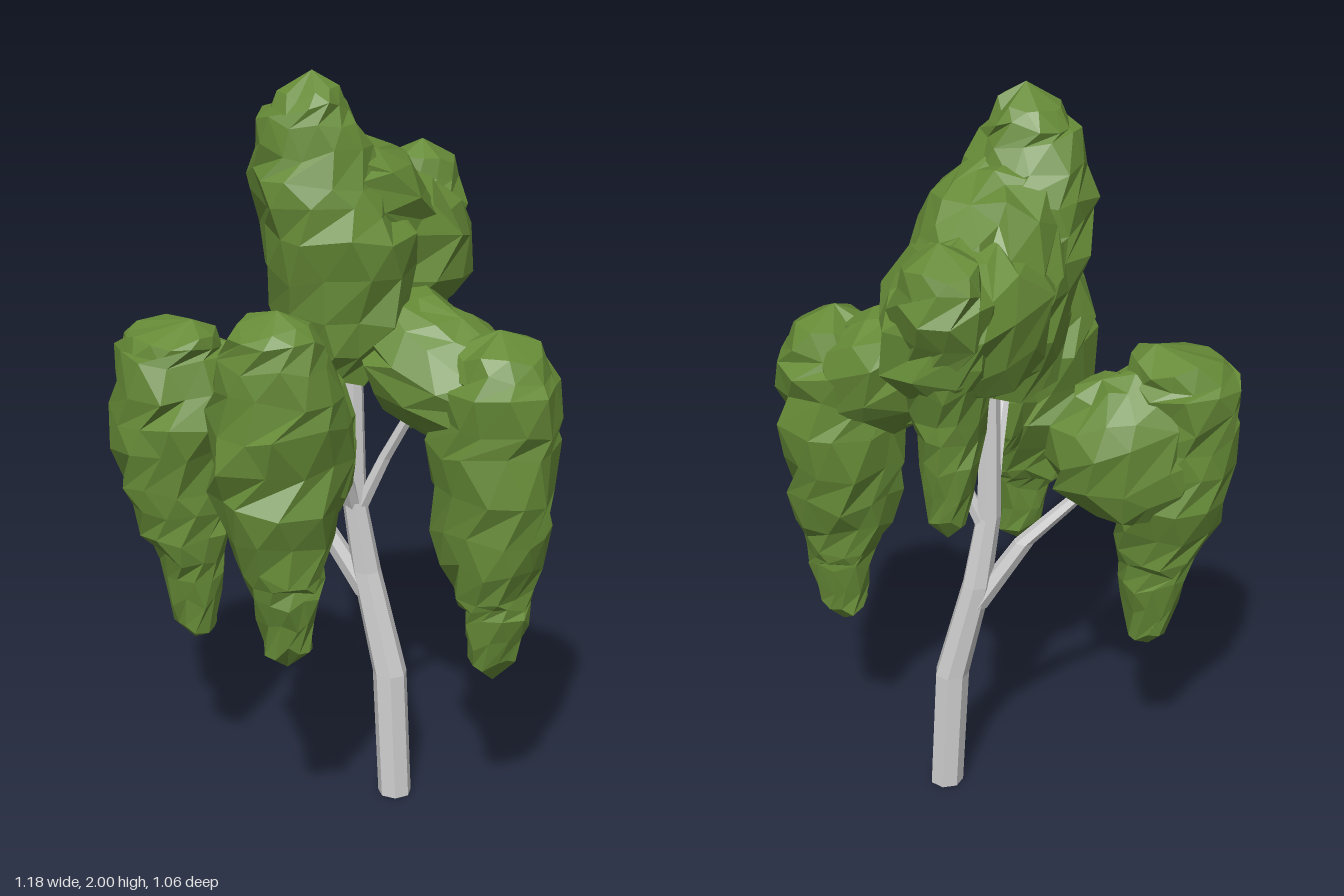
import * as THREE from 'three';

const leafGreen = new THREE.MeshStandardMaterial({ color: 0x668b37, flatShading: true });
const barkGrey = new THREE.MeshStandardMaterial({ color: 0xcfcfcf, flatShading: true });
leafGreen.name = 'leafGreen';
barkGrey.name = 'barkGrey';

// Seeded noise in -1..1
let seed = 7;
function noise() {
  seed = (seed * 16807) % 2147483647;
  return (seed / 2147483647) * 2 - 1;
}

// Skin over horizontal rings [y, x, z, rx, rz]; a zero radius closes an end
function loft(rows, sides, rough = 0) {
  const pos = [], index = [];
  rows.forEach(([y, x, z, rx, rz = rx], i) => {
    const twist = rough ? (i % 2) * Math.PI / sides : 0;
    for (let j = 0; j < sides; j++) {
      const a = (j / sides) * Math.PI * 2 + twist + noise() * rough * 1.2;
      const k = 1 + rough * (0.3 + noise());
      const dy = rx > 0 ? noise() * rough * 0.2 : 0;
      pos.push(x + Math.cos(a) * rx * k, y + dy, z + Math.sin(a) * rz * k);
    }
  });
  for (let i = 0; i < rows.length - 1; i++) {
    for (let j = 0; j < sides; j++) {
      const n = (j + 1) % sides;
      const a = i * sides + j, b = i * sides + n, c = a + sides, d = b + sides;
      if (rows[i][3] > 0) index.push(a, c, b);
      if (rows[i + 1][3] > 0) index.push(b, c, d);
    }
  }
  const g = new THREE.BufferGeometry();
  g.setAttribute('position', new THREE.Float32BufferAttribute(pos, 3));
  g.setIndex(index);
  const flat = g.toNonIndexed();
  flat.computeVertexNormals();
  return flat;
}

// Adds a ring halfway between each pair of rings
function subdivide(rows) {
  return rows.flatMap((r, i) => {
    const n = rows[i + 1];
    if (!n || r[3] === 0 || n[3] === 0) return [r];
    const full = (q) => [q[0], q[1], q[2], q[3], q[4] ?? q[3]];
    const f = full(n);
    return [r, full(r).map((v, k) => (v + f[k]) / 2)];
  });
}

export function createModel() {
  const tree = new THREE.Group();
  tree.name = 'tree';

  function add(name, geometry, material) {
    const mesh = new THREE.Mesh(geometry, material);
    mesh.name = name;
    tree.add(mesh);
    return mesh;
  }
  const hanging = (name, rows, sides = 11) =>
    add(name, loft(subdivide(rows), sides, 0.1), leafGreen);

  // Rough ellipsoid of leaves
  function mound(name, [x, y, z], [rx, ry, rz], [ax, ay, az]) {
    const rows = [];
    for (let i = 0; i <= 7; i++) {
      const t = (i / 7) * Math.PI, s = i % 7 ? Math.sin(t) : 0;
      rows.push([-Math.cos(t) * ry, 0, 0, rx * s, rz * s]);
    }
    const mesh = add(name, loft(rows, 11, 0.09), leafGreen);
    mesh.position.set(x, y, z);
    mesh.rotation.set(ax, ay, az);
  }

  // Trunk and branches
  add('trunk', loft([
    [0, 0.115, -0.085, 0], [0, 0.115, -0.085, 0.046], [0.36, 0.095, -0.085, 0.047],
    [0.65, 0.025, -0.07, 0.04], [0.85, 0.0, -0.05, 0.033], [1.3, 0.0, -0.04, 0.026],
    [1.3, 0.0, -0.04, 0],
  ], 7), barkGrey);
  const branches = {
    lowBranch: [[0.58, 0.03, -0.07, 0.034], [0.78, -0.09, -0.02, 0.028], [0.92, -0.22, 0.04, 0.022]],
    sideBranch: [[0.8, 0.0, -0.055, 0.024], [0.98, 0.08, -0.075, 0.019], [1.18, 0.19, -0.09, 0.016]],
    frontBranch: [[0.82, 0.0, -0.05, 0.024], [1.0, 0.02, 0.04, 0.02], [1.22, 0.05, 0.18, 0.016]],
  };
  for (const [name, rows] of Object.entries(branches)) add(name, loft(rows, 6), barkGrey);

  // Clump on the -x side, with its shoulder towards the trunk
  hanging('rightFoliage', [
    [0.43, -0.37, 0.18, 0], [0.48, -0.365, 0.18, 0.055], [0.64, -0.375, 0.18, 0.09, 0.08],
    [0.74, -0.39, 0.19, 0.115, 0.11], [0.9, -0.415, 0.19, 0.15, 0.145], [1.08, -0.415, 0.195, 0.16, 0.155],
    [1.24, -0.43, 0.185, 0.145, 0.14], [1.29, -0.42, 0.18, 0.11], [1.33, -0.37, 0.16, 0],
  ]);
  mound('rightShoulder', [-0.33, 1.05, 0.095], [0.21, 0.21, 0.145], [0, 0.4, -0.35]);

  // Clump on the +x side, bridging up to the crown
  hanging('leftFoliage', [
    [0.44, 0.43, -0.08, 0], [0.5, 0.43, -0.08, 0.06], [0.63, 0.44, -0.08, 0.085],
    [0.7, 0.42, -0.08, 0.1], [0.86, 0.415, -0.085, 0.15, 0.14], [1.08, 0.41, -0.09, 0.165, 0.16],
    [1.24, 0.415, -0.09, 0.155], [1.34, 0.42, -0.09, 0.11], [1.39, 0.42, -0.09, 0],
  ]);
  mound('leftShoulder', [0.23, 1.26, -0.085], [0.26, 0.16, 0.165], [0, 0, -0.5]);

  // Front clump
  hanging('frontFoliage', [
    [0.55, 0.1, 0.36, 0], [0.61, 0.1, 0.36, 0.06], [0.75, 0.1, 0.365, 0.08],
    [0.82, 0.075, 0.355, 0.12, 0.11], [1.0, 0.06, 0.34, 0.16, 0.165], [1.2, 0.06, 0.335, 0.175, 0.185],
    [1.37, 0.065, 0.355, 0.14, 0.13], [1.45, 0.08, 0.37, 0.085], [1.49, 0.09, 0.375, 0],
  ]);
  mound('frontShoulder', [0.08, 1.12, 0.22], [0.1, 0.22, 0.11], [0.15, 0, 0]);

  // Crown, its long rear slope and the tail hanging behind
  hanging('crown', [
    [1.19, -0.02, 0.0, 0], [1.23, -0.02, 0.0, 0.13], [1.4, -0.01, -0.005, 0.19, 0.16],
    [1.6, -0.02, 0.005, 0.195, 0.185], [1.74, -0.06, 0.04, 0.165, 0.155], [1.88, -0.07, 0.055, 0.125, 0.11],
    [1.95, -0.06, 0.055, 0.075], [2.0, -0.05, 0.06, 0],
  ], 12);
  mound('crownSlope', [-0.03, 1.63, -0.1], [0.185, 0.175, 0.28], [-0.65, 0, 0]);
  mound('crownRear', [-0.03, 1.5, -0.23], [0.2, 0.21, 0.26], [-0.15, 0, 0]);
  hanging('rearTail', [
    [0.95, -0.04, -0.36, 0], [1.0, -0.04, -0.36, 0.045], [1.15, -0.04, -0.345, 0.075],
    [1.3, -0.04, -0.345, 0.088], [1.45, -0.05, -0.385, 0.11, 0.085], [1.6, -0.06, -0.42, 0.12, 0.095],
    [1.7, -0.06, -0.42, 0.09, 0.08], [1.75, -0.05, -0.41, 0],
  ], 10);

  return tree;
}
